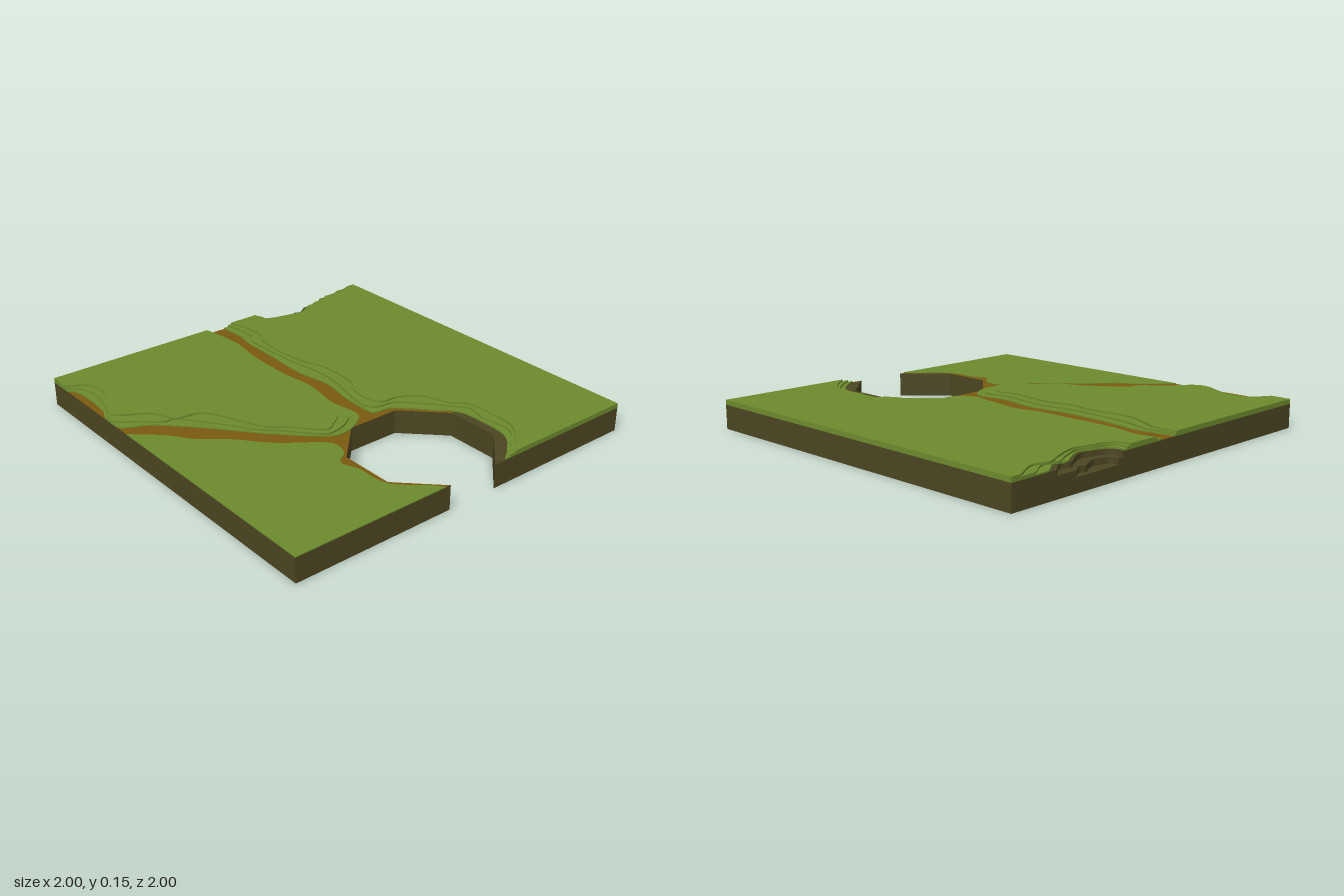
import * as THREE from 'three';

const mat = (name, color) => {
  const m = new THREE.MeshStandardMaterial({ color });
  m.name = name;
  return m;
};

// outlines are [x, z] in hundredths of a unit, seen from above
const clamp = v => Math.max(-100, Math.min(100, v));

// wavy edge through a few points, kept inside the tile
const wavy = pts => new THREE.SplineCurve(pts.map(p => new THREE.Vector2(...p)))
  .getPoints(pts.length * 4).map(p => [clamp(p.x), clamp(p.y)]);

// horizontal slab with the given outline between two heights
function slab(name, outline, y0, y1, material) {
  const shape = new THREE.Shape(outline.map(([x, z]) => new THREE.Vector2(x / 100, -z / 100)));
  const geo = new THREE.ExtrudeGeometry(shape, { depth: y1 - y0, bevelEnabled: false });
  geo.rotateX(-Math.PI / 2);
  geo.translate(0, y0, 0);
  const mesh = new THREE.Mesh(geo, material);
  mesh.name = name;
  return mesh;
}

// eight-sided cut-out, open at the +x edge
const octagon = [[100, -14], [80.5, -33.5], [52.5, -33.5], [33, -14], [33, 14], [52.5, 33.5], [80.5, 33.5], [100, 14]];

// eroded hollow on the -x edge, from south to north, shrunk by sx and sz
const hollowEdge = wavy([[-100, -27], [-95, -27], [-91, -32], [-89, -40], [-87, -50], [-91, -63],
  [-95, -72], [-93, -80], [-95, -86], [-98, -91], [-100, -95]]);
const hollow = (sx, sz) => hollowEdge.map(([x, z]) => [-100 + (x + 100) * sx, -40 + (z + 40) * sz]);

// grass edges, lowest step first
const northEdges = [
  [[-100, -5], [-85, -6], [-75, -4], [-58, -4], [-30, -3], [-10, -6], [10, -3], [25, -3], [29, -5],
    [30, -13], [35, -19], [46, -29], [53, -36], [62, -38], [83, -37], [94, -28], [100, -20]],
  [[-100, -8], [-82, -10], [-72, -6], [-45, -7], [-24, -10], [-10, -10], [8, -6], [19, -4], [26, -8],
    [28, -18], [38, -28], [50, -38], [57, -42], [67, -40], [83, -41], [94, -31], [100, -23]],
  [[-100, -10], [-80, -14], [-66, -9], [-40, -10], [-24, -15], [-2, -15], [6, -10], [17, -9], [25, -13],
    [26, -22], [33, -32], [46, -37], [54, -44], [67, -45], [81, -44], [91, -37], [100, -27]],
];
const westEdges = [
  [[-100, 4], [-80, 1], [-64, 3], [-53, 4], [-32, 4], [-13, 2], [8, 5], [24, 3], [31, 9], [35, 20], [31, 30],
    [14, 47], [6, 54], [-13, 70], [-29, 86], [-33, 94], [-38, 100], [-50, 99.5], [-56, 97], [-70, 96], [-82, 97], [-86, 100]],
  [[-100, 5], [-85, 3], [-70, 7], [-58, 8], [-35, 9], [-15, 6], [8, 9], [22, 7], [29, 14], [32, 23], [30, 30],
    [15, 43], [7, 51], [-8, 61], [-25, 74], [-27, 81], [-35, 90], [-42, 99], [-49, 98.5], [-60, 94], [-72, 92], [-82, 94], [-88, 100]],
  [[-100, 6], [-88, 5], [-77, 10], [-64, 14], [-42, 12], [-32, 14], [-16, 11], [8, 13], [19, 11], [27, 20], [29, 27],
    [17, 38], [9, 47], [-2, 52], [-21, 62], [-25, 75], [-37, 82], [-48, 97], [-64, 91], [-72, 88], [-82, 90], [-88, 98], [-89, 100]],
];
const southEdge = [[-29, 100], [-16, 86], [-5, 78], [6, 65], [22, 51], [35, 34], [41, 30], [49, 32], [55, 39],
  [65, 36], [75, 36], [84, 33], [94, 22], [100, 17]];

export function createModel() {
  const grass = mat('grass green', 0x6c8a2d);
  const path = mat('path brown', 0x7a5a10);
  const soil = mat('dark soil', 0x4c4522);
  const group = new THREE.Group();
  group.name = 'terrainTile';

  // soil block, hollowed in steps at the -x edge
  const block = notch => [[-100, -100], [100, -100], ...octagon, [100, 100], [-100, 100], ...notch];
  group.add(
    slab('soilBase', block([]), 0, 0.07, soil),
    slab('soilMiddle', block(hollow(0.5, 0.4)), 0.07, 0.1, soil),
    slab('soilTop', block(hollow(0.88, 0.62)), 0.1, 0.125, soil),
  );

  // path surface, showing between the grass areas
  group.add(slab('pathSurface', [[-99.9, -24], [30, -24], [52, -36], ...octagon.slice(2),
    [99.9, 14.1], [99.9, 99.9], [-99.9, 99.9]], 0.125, 0.1262, [path, soil]));

  // small stepped mound on the path
  [3.6, 2].forEach((r, i) => {
    const ring = Array.from({ length: 10 }, (_, k) => {
      const a = k * Math.PI / 5, q = r * (k % 2 ? 0.8 : 1);
      return [-89 + q * Math.cos(a), -1 + q * Math.sin(a)];
    });
    group.add(slab('pathMound', ring, 0.125, 0.128 + i * 0.002, path));
  });

  // stepped grass north and west of the paths
  const tops = [0.132, 0.141, 0.15];
  const shrink = [[0.91, 0.7], [0.95, 0.85], [1, 1]];
  tops.forEach((top, i) => {
    const bottom = i ? tops[i - 1] : 0.125;
    const north = [[-100, -100], [100, -100], ...wavy(northEdges[i]).reverse(), ...hollow(...shrink[i])];
    group.add(slab('northGrass', north, bottom, top, grass));
    group.add(slab('westGrass', [...wavy(westEdges[i]), [-100, 100]], bottom, top, grass));
  });

  // low flat grass in the front corner
  group.add(slab('southGrass', [...wavy(southEdge), [100, 100]], 0.125, 0.13, grass));

  return group;
}
